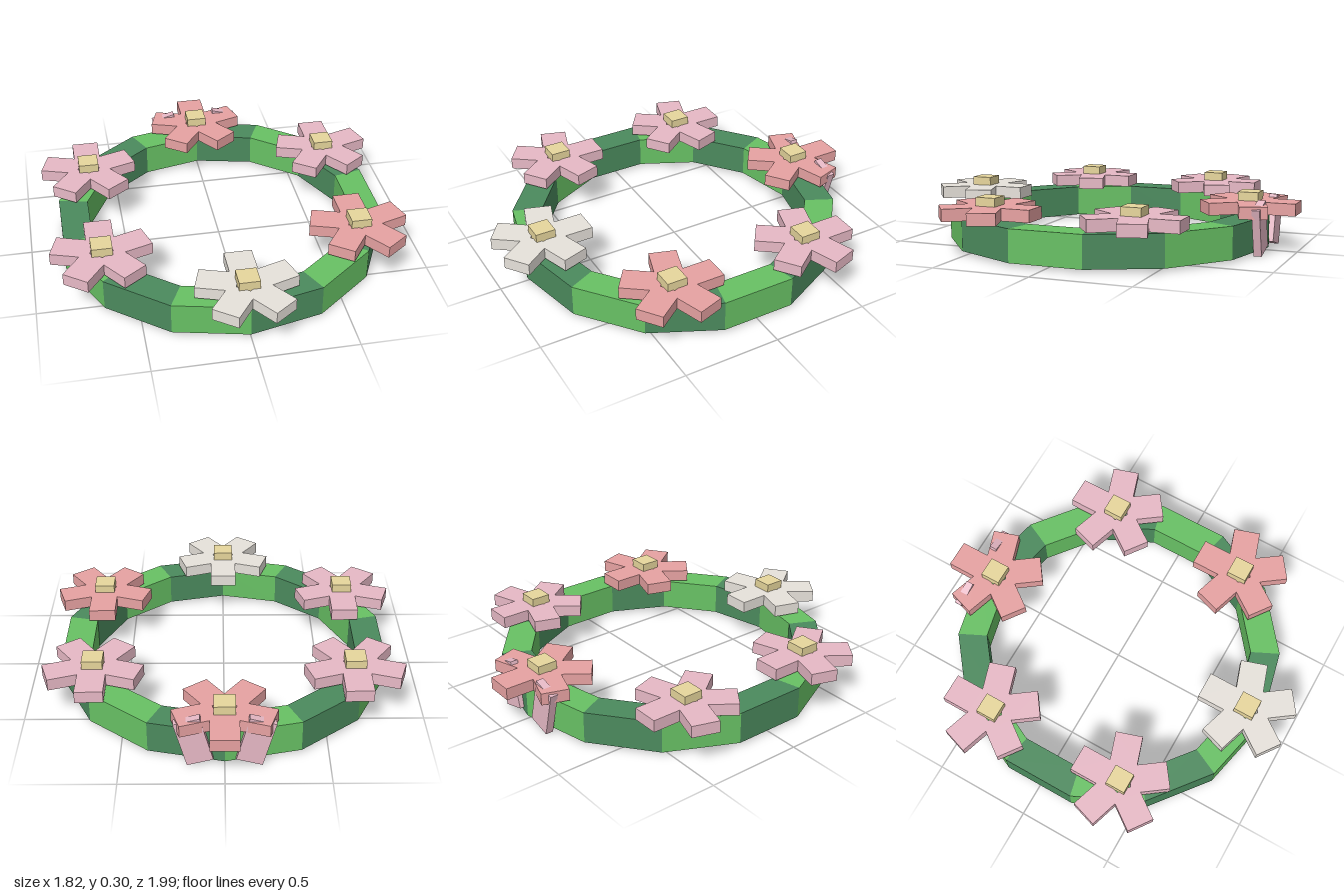
import * as THREE from 'three';

const mat = (name, color) => {
  const m = new THREE.MeshStandardMaterial({ color });
  m.name = name;
  return m;
};

// Upright prism: outline (x, -z) extruded from y0 upwards
function slab(outline, y0, height, hole) {
  const shape = new THREE.Shape(outline);
  if (hole) shape.holes.push(new THREE.Path(hole));
  const geo = new THREE.ExtrudeGeometry(shape, { depth: height, bevelEnabled: false });
  return geo.rotateX(-Math.PI / 2).translate(0, y0, 0);
}

export function createModel() {
  const lightGreen = mat('lightGreen', 0x68c164);
  const darkGreen = mat('darkGreen', 0x4b8a5d);
  const pink = mat('pink', 0xebbcc9);
  const coral = mat('coral', 0xeba5a5);
  const cream = mat('cream', 0xebe6df);
  const yellow = mat('yellow', 0xebda9f);

  const root = new THREE.Group();
  root.name = 'flowerCrown';
  const add = (parent, name, geo, material) => {
    const mesh = new THREE.Mesh(geo, material);
    mesh.name = name;
    parent.add(mesh);
    return mesh;
  };

  // Band of fourteen segments in alternating greens
  const band = new THREE.Group();
  band.name = 'band';
  root.add(band);
  const sides = 14;
  const ringPoint = (r, k) => {
    const a = (k / sides) * Math.PI * 2;
    return new THREE.Vector2(r * Math.sin(a), -r * Math.cos(a));
  };
  for (let k = 0; k < sides; k++) {
    const outline = [ringPoint(0.853, k), ringPoint(0.853, k + 1), ringPoint(0.7, k + 1), ringPoint(0.7, k)];
    add(band, 'bandSegment', slab(outline, 0.015, 0.165), k % 2 ? lightGreen : darkGreen);
  }

  // Five square-ended petals around a small pentagonal opening
  const length = 0.245, half = 0.07, opening = 0.05;
  const notch = half / Math.sin(Math.PI / 5);
  const outline = [], hole = [];
  for (let k = 0; k < 5; k++) {
    const a = Math.PI / 2 + (k * Math.PI * 2) / 5;
    const dir = new THREE.Vector2(Math.cos(a), Math.sin(a));
    const side = new THREE.Vector2(-dir.y, dir.x);
    const b = a + Math.PI / 5;
    const between = new THREE.Vector2(Math.cos(b), Math.sin(b));
    outline.push(
      dir.clone().multiplyScalar(length).addScaledVector(side, -half),
      dir.clone().multiplyScalar(length).addScaledVector(side, half),
      between.clone().multiplyScalar(notch));
    hole.push(between.clone().multiplyScalar(opening / Math.cos(Math.PI / 5)));
  }
  const petalGeo = slab(outline, 0.192, 0.062, hole);
  const centreGeo = new THREE.BoxGeometry(0.104, 0.055, 0.104).translate(0, 0.27, 0);

  // Six flowers, starting at the front and going towards +x
  [cream, coral, pink, coral, pink, pink].forEach((material, k) => {
    const a = (k * Math.PI) / 3;
    const flower = new THREE.Group();
    flower.name = 'flower';
    flower.position.set(0.755 * Math.sin(a), 0, 0.755 * Math.cos(a));
    add(flower, 'petals', petalGeo, material);
    add(flower, 'flowerCentre', centreGeo, yellow);
    root.add(flower);
  });

  // Pair of tilted ribbon tails at the back
  for (const s of [1, -1]) {
    const ribbon = add(root, s > 0 ? 'leftRibbon' : 'rightRibbon', new THREE.BoxGeometry(0.13, 0.245, 0.04), pink);
    ribbon.position.set(s * 0.148, 0.136, -0.843);
    ribbon.rotation.z = -s * 0.26;
  }
  return root;
}
